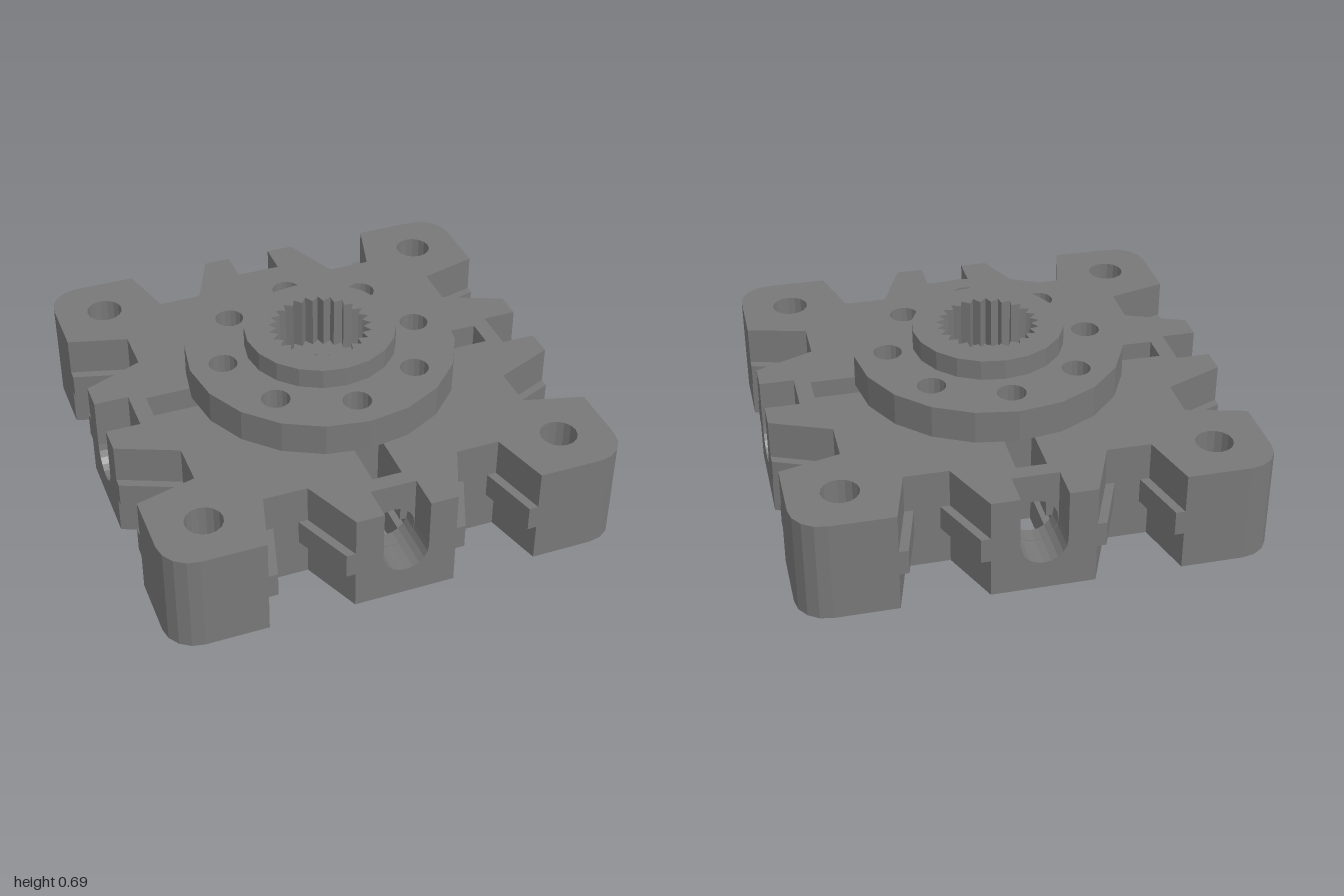
import * as THREE from 'three';

export function createModel() {
  const model = new THREE.Group();
  const grey = new THREE.MeshStandardMaterial({ color: 0x787878 });
  grey.name = 'matte grey';

  const vec = (pts) => pts.map(([x, y]) => new THREE.Vector2(x, y));
  const arc = (cx, cy, r, from, to, n) => Array.from({ length: n + 1 }, (_, i) => {
    const a = from + (to - from) * i / n;
    return [cx + r * Math.cos(a), cy + r * Math.sin(a)];
  });
  const circle = (cx, cy, r, n = 20) => arc(cx, cy, r, 0, Math.PI * 2, n).slice(0, -1);
  // completes a half outline by mirroring it over the diagonal
  const mirror = (half) => [...half, ...half.map(([x, y]) => [y, x]).reverse()];
  // diagonal (along, across) coordinates to plan coordinates
  const diag = (pts) => pts.map(([u, v]) => [(u + v) * Math.SQRT1_2, (u - v) * Math.SQRT1_2]);

  function solid(outline, holes, depth) {
    const shape = new THREE.Shape(vec(outline));
    holes.forEach((h) => shape.holes.push(new THREE.Path(vec(h))));
    return new THREE.ExtrudeGeometry(shape, { depth, bevelEnabled: false });
  }
  function slab(name, outline, holes, y0, y1, parent = model) {
    const geo = solid(outline, holes, y1 - y0).rotateX(-Math.PI / 2);
    const mesh = new THREE.Mesh(geo, grey);
    mesh.name = name;
    mesh.position.y = y0;
    parent.add(mesh);
  }

  // outer edge of one plate quarter; the rib narrows the side notches
  const outer = (rib) => mirror([
    [1, 0.1], [1, 0.22 + rib], [0.74, 0.33 + rib], [0.74, 0.52 - rib], [1, 0.59 - rib],
    ...arc(0.86, 0.86, 0.14, 0, Math.PI / 4, 2),
  ].slice(0, -1).concat(diag([[1.3562, 0]])));

  // hollow under the plate: centre, neck and corner pocket
  const pocket = [[0.7, 0.05], [0.95, 0.05], [1.03, 0.15], [1.18, 0.15], [1.26, 0.06]];
  const hollow = [[0.42, 0.1], [0.495, 0.212], ...diag([[0.66, 0.13], ...pocket])];
  const slot = [[0.78, 0.1], [0.78, 0.065], [0.53, 0.065], [0.53, 0]];
  const inner = (half) => mirror(half).reverse();
  const boreArc = arc(0, 0, 0.115, 0, Math.PI / 2, 5).reverse();
  const slotted = [...slot.map(([x, y]) => [y, x]), ...boreArc, ...[...slot].reverse()];
  const deepPocket = mirror(diag([[0.36, 0.09], [0.64, 0.1], ...pocket]));
  const boltHole = circle(0.315, 0.315, 0.0625, 16);
  const cornerHole = circle(0.78, 0.78, 0.08, 16);

  for (let i = 0; i < 4; i++) {
    const quarter = new THREE.Group();
    quarter.name = 'plateQuarter' + (i + 1);
    quarter.rotation.y = i * Math.PI / 2;
    model.add(quarter);

    // plate in layers, from the hollow underside to the top
    slab('underside', [...outer(0), ...inner([...slot, [0.42, 0], ...hollow])], [], 0, 0.125, quarter);
    slab('passageLayer', [...outer(0), ...inner(hollow)], [], 0.125, 0.17, quarter);
    slab('ribLower', [...outer(0.04), ...inner(hollow)], [], 0.17, 0.19, quarter);
    slab('ribUpper', [...outer(0.04), ...slotted], [deepPocket], 0.19, 0.28, quarter);
    slab('plateTop', [...outer(0), ...slotted], [boltHole, cornerHole], 0.28, 0.45, quarter);

    // U-shaped cable groove, and the bored wall behind it
    const groove = [[-0.1, 0], [0.1, 0], ...arc(0, 0.225, 0.1, 0, -Math.PI, 10)];
    const wall = [[-0.1, 0], [0.1, 0], [0.1, 0.45], [-0.1, 0.45]];
    [['sideGroove', groove, [], 0.85, 0.15],
      ['boredWall', wall, [circle(0, 0.225, 0.098)], 0.78, 0.07]].forEach(([name, line, holes, z, d]) => {
      const mesh = new THREE.Mesh(solid(line, holes, d), grey);
      mesh.name = name;
      mesh.position.z = z;
      quarter.add(mesh);
    });
  }

  // round flange and hub with a toothed socket
  const teeth = 25;
  const spline = Array.from({ length: teeth * 2 }, (_, i) => {
    const a = i * Math.PI / teeth, r = i % 2 ? 0.19 : 0.225;
    return [r * Math.cos(a), r * Math.sin(a)];
  });
  const ring = Array.from({ length: 8 }, (_, i) =>
    circle(0.445 * Math.cos(i * Math.PI / 4), 0.445 * Math.sin(i * Math.PI / 4), 0.0625, 16));
  slab('flange', circle(0, 0, 0.593), [spline, ...ring], 0.45, 0.595);
  slab('hub', circle(0, 0, 0.332), [spline], 0.595, 0.685);

  return model;
}
